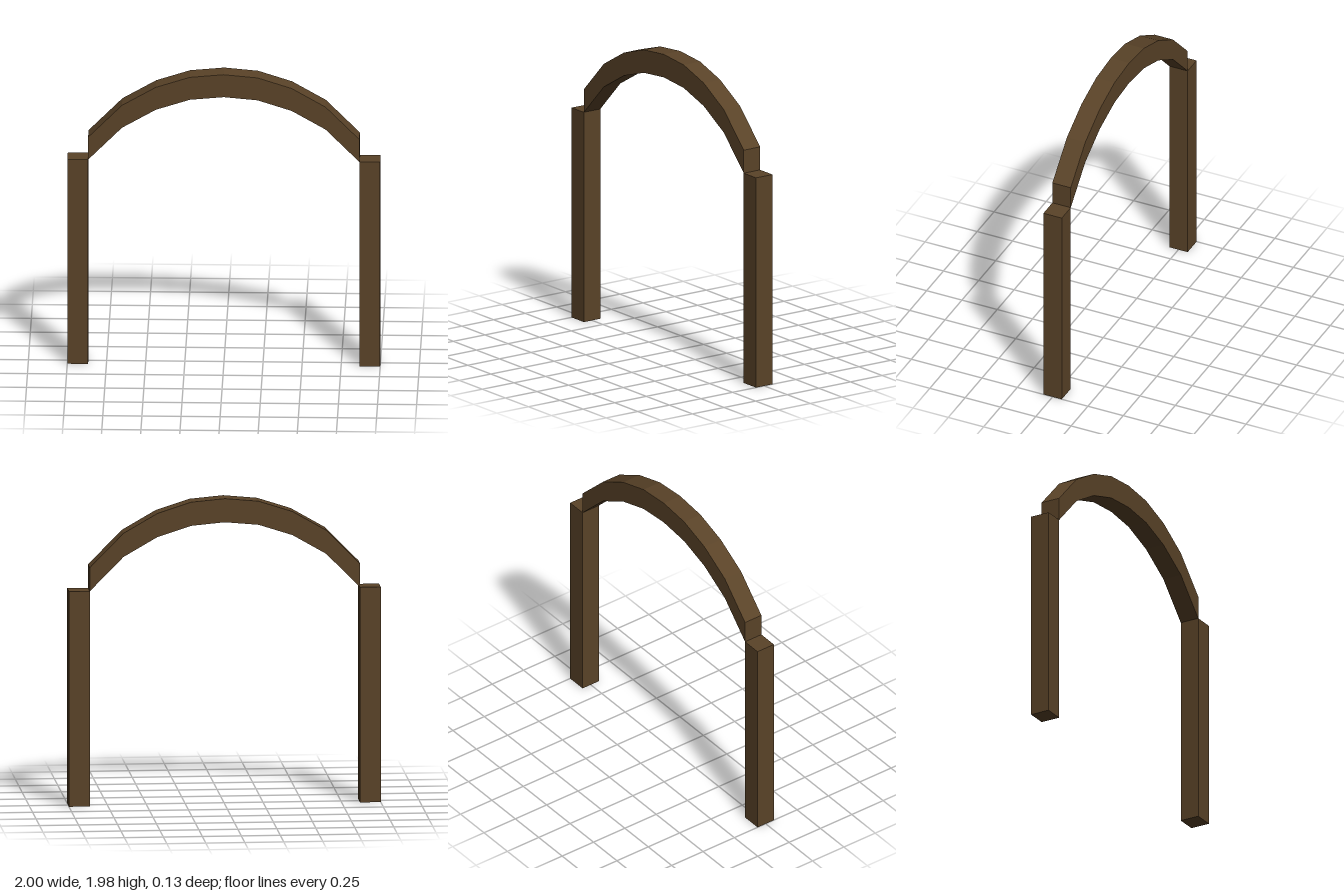
import * as THREE from 'three';

const DEPTH = 0.13;      // thickness along z
const INNER = 0.867;     // half-width of the opening
const POST_TOP = 1.395;
const BEAM = 0.153;      // vertical height of the arch beam

export function createModel() {
  const group = new THREE.Group();
  group.name = 'archway';
  const wood = new THREE.MeshStandardMaterial({ color: 0x5a4328 });
  wood.name = 'dark wood';

  // Square posts, mirrored
  const width = 1 - INNER;
  for (const side of [-1, 1]) {
    const post = new THREE.Mesh(new THREE.BoxGeometry(width, POST_TOP, DEPTH), wood);
    post.name = side > 0 ? 'leftPost' : 'rightPost';
    post.position.set(side * (INNER + width / 2), POST_TOP / 2, 0);
    group.add(post);
  }

  // Faceted arch beam: lower edge at equal x steps, upper edge is the same line raised
  const heights = [1.83, 1.81, 1.74, 1.615, POST_TOP];
  const lower = [];
  for (let i = -4; i <= 4; i++) {
    lower.push(new THREE.Vector2((i / 4) * INNER, heights[Math.abs(i)]));
  }
  const upper = lower.map((p) => new THREE.Vector2(p.x, p.y + BEAM)).reverse();
  const arch = new THREE.Mesh(
    new THREE.ExtrudeGeometry(new THREE.Shape([...lower, ...upper]), { depth: DEPTH, bevelEnabled: false }),
    wood
  );
  arch.name = 'archBeam';
  arch.position.z = -DEPTH / 2;
  group.add(arch);

  return group;
}
